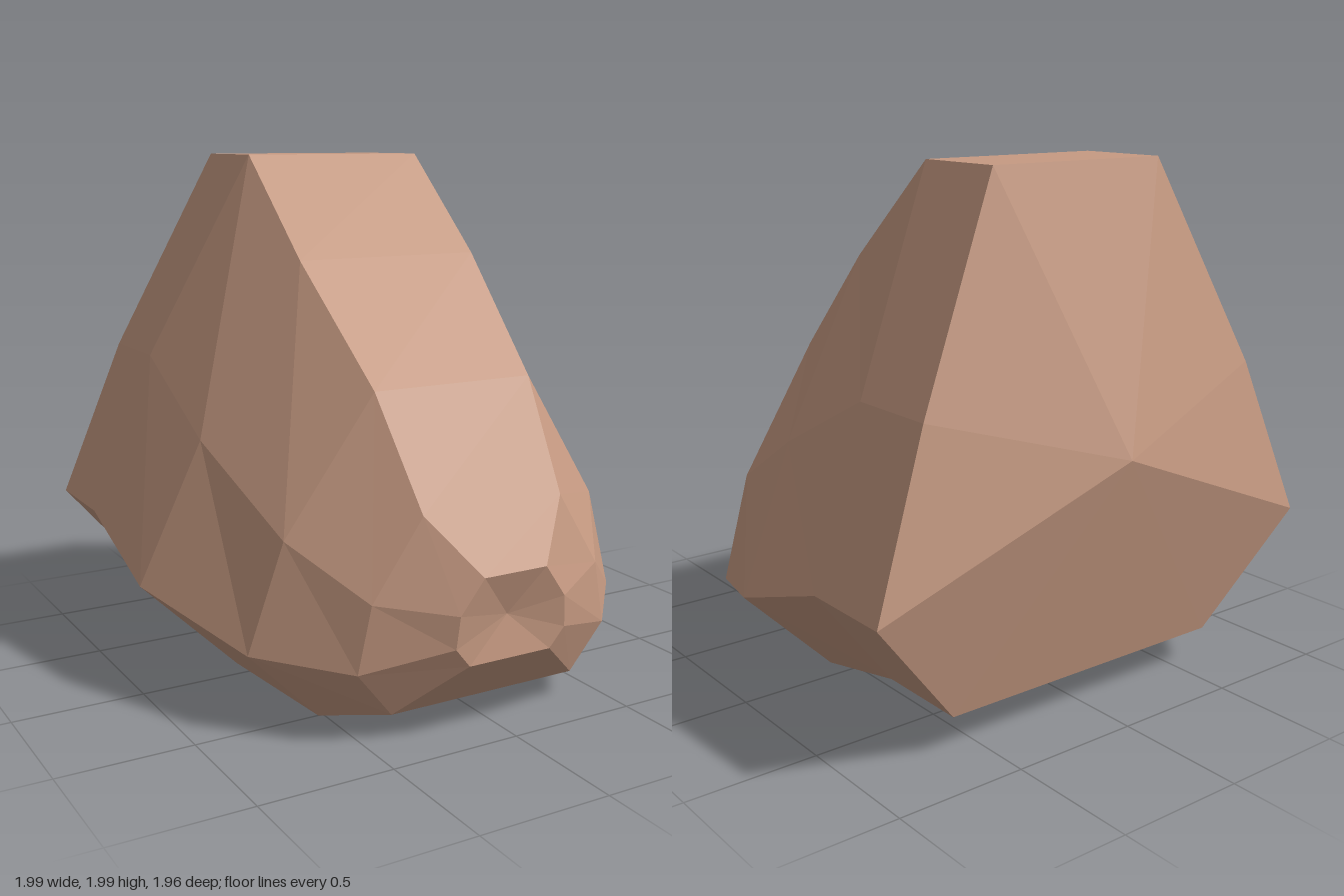
import * as THREE from 'three';

// Half cross-sections from back to front: bottom, jaw, cheek and brow corners on the left side
const SECTIONS = [
  [[0.62, 0.15, -0.78], [0.995, 0.6, -0.88], [0.76, 1.22, -0.81], [0.38, 2.0, -0.68]],
  [[0.62, 0.15, -0.41], [0.995, 0.6, -0.51], [0.76, 1.22, -0.45], [0.38, 2.0, -0.31]],
  [[0.62, 0.06, 0.01], [0.995, 0.43, -0.01], [0.76, 0.97, 0.04], [0.38, 1.62, 0.12]],
  [[0.52, 0.01, 0.5], [0.8, 0.295, 0.51], [0.67, 0.7, 0.54], [0.33, 1.2, 0.58]],
  [[0.39, 0.1, 0.8], [0.53, 0.275, 0.81], [0.48, 0.52, 0.82], [0.29, 0.81, 0.84]],
  [[0.17, 0.287, 0.955], [0.23, 0.36, 0.96], [0.22, 0.48, 0.97], [0.13, 0.605, 0.98]],
];
const BACK_CENTRE = [0, 1.0, -0.98];
const NOSE_CENTRE = [0, 0.44, 0.93];

// Mirror a half section into a closed ring
function ring(half) {
  return [...half, ...half.map(([x, y, z]) => [-x, y, z]).reverse()];
}

// Skin the rings with flat facets and close both ends with fans
function headGeometry() {
  const rings = SECTIONS.map(ring);
  const positions = [];
  const tri = (a, b, c) => positions.push(...a, ...b, ...c);
  const n = rings[0].length;
  for (let i = 0; i < n; i++) {
    const j = (i + 1) % n;
    for (let s = 0; s < rings.length - 1; s++) {
      const a = rings[s], b = rings[s + 1];
      tri(a[i], a[j], b[j]);
      tri(a[i], b[j], b[i]);
    }
    const back = rings[0], front = rings[rings.length - 1];
    tri(BACK_CENTRE, back[j], back[i]);
    tri(NOSE_CENTRE, front[i], front[j]);
  }
  const geometry = new THREE.BufferGeometry();
  geometry.setAttribute('position', new THREE.Float32BufferAttribute(positions, 3));
  geometry.computeVertexNormals();
  return geometry;
}

export function createModel() {
  const skin = new THREE.MeshStandardMaterial({ color: 0xc69a82 });
  skin.name = 'tan skin';
  skin.flatShading = true;

  const model = new THREE.Group();
  model.name = 'facetedHead';

  const head = new THREE.Mesh(headGeometry(), skin);
  head.name = 'head';
  model.add(head);

  // Pair of thin diamond plates lying against the sloping underside
  const diamond = new THREE.CircleGeometry(1, 4);
  diamond.scale(0.21, 0.12, 1);
  diamond.rotateX(Math.PI / 2 + 0.1);
  for (const side of [1, -1]) {
    const plate = new THREE.Mesh(diamond, skin);
    plate.name = side > 0 ? 'leftUndersidePlate' : 'rightUndersidePlate';
    plate.position.set(side * 0.33, 0.027, 0.29);
    model.add(plate);
  }
  return model;
}
